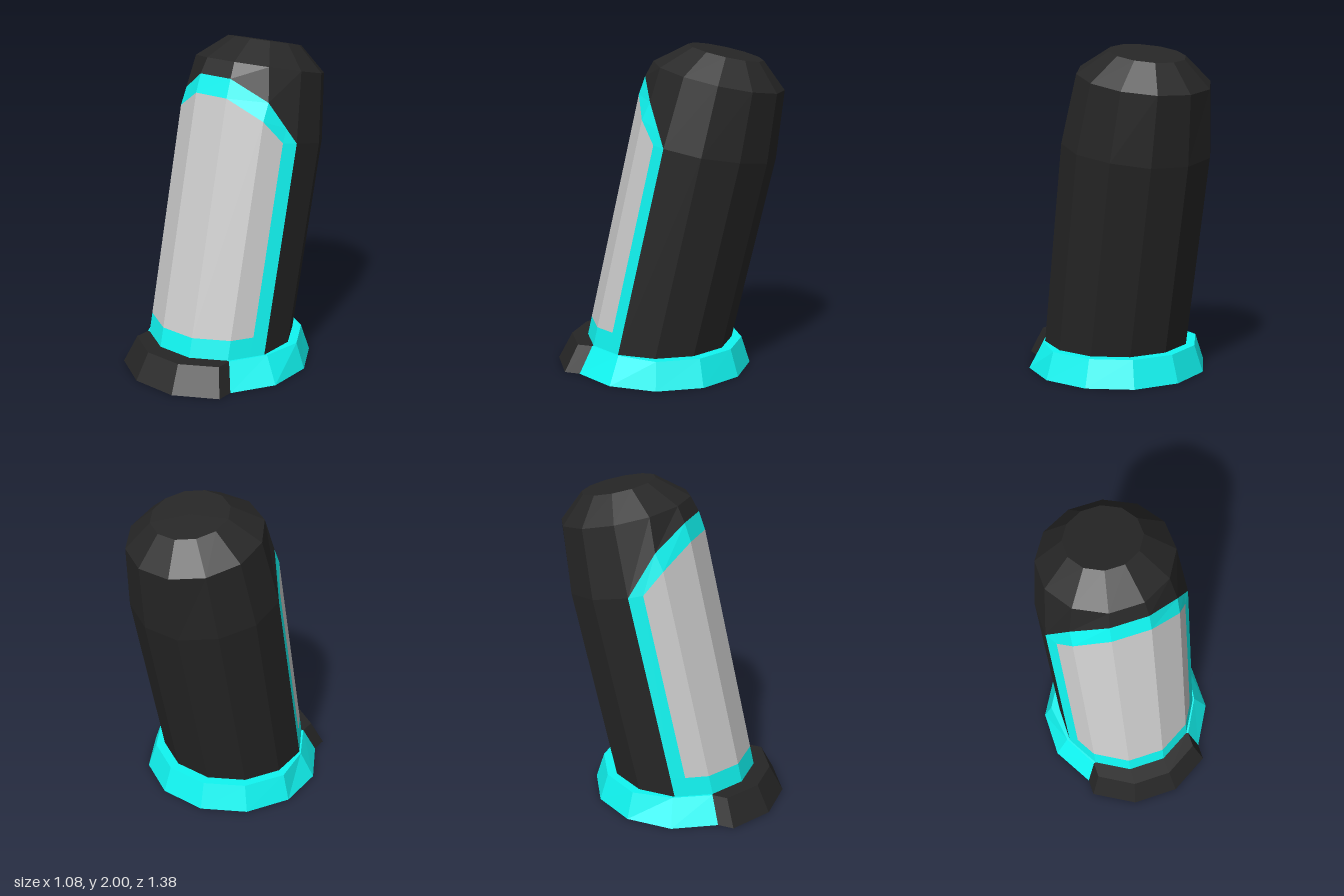
import * as THREE from 'three';

const material = (color) => new THREE.MeshStandardMaterial({
  color, flatShading: true, side: THREE.DoubleSide, roughness: 0.8,
});

// Skin consecutive rows of points (lower to upper) with flat quads
function loft(name, mat, rows, closed = false) {
  const pos = [];
  for (let r = 0; r + 1 < rows.length; r++) {
    const lo = rows[r], up = rows[r + 1], n = lo.length;
    for (let i = 0; i < (closed ? n : n - 1); i++) {
      const j = (i + 1) % n;
      for (const p of [lo[i], lo[j], up[j], lo[i], up[j], up[i]]) pos.push(...p);
    }
  }
  const g = new THREE.BufferGeometry();
  g.setAttribute('position', new THREE.Float32BufferAttribute(pos, 3));
  g.computeVertexNormals();
  const mesh = new THREE.Mesh(g, mat);
  mesh.name = name;
  return mesh;
}

// Mirror a half row (centre outwards on +x) into a full left-to-right row
const mirror = (half) => [...half.map(([x, y, z]) => [-x, y, z]).reverse(), ...half];

// Twelve-sided ring with a flat side to the front, tilted by slope
function ring(r, y, z, slope = 0) {
  return Array.from({ length: 12 }, (_, i) => {
    const a = (i * 30 - 15) * Math.PI / 180;
    const dz = r * Math.cos(a) * (slope ? 0.975 : 1);
    return [r * Math.sin(a), y + slope * dz, z + dz];
  });
}

export function createModel() {
  const group = new THREE.Group();
  const dark = material(0x262626), cyan = material(0x10f6f2), grey = material(0xcccccc);
  const baseY = 0.165, lean = 0.228;
  const tube = ring(0.455, baseY, 0.06);
  const raise = ([x, , z], y) => [x, y, z - lean * (y - baseY)];

  // Leaning front panel with a border
  const edge = [0.395, baseY, 0.256];
  const cols = [tube[1], tube[2], edge, tube[3]];
  const greyTopY = [1.70, 1.575, 1.44, 1.43];
  const bottom = mirror(cols);
  const panelLow = mirror(cols.map((p) => raise(p, 0.285)));
  const panelTop = mirror(cols.map((p, i) => raise(p, greyTopY[i])));
  const borderTop = mirror([
    [0.115, 1.81, 0.11], [0.32, 1.68, 0.01], [0.395, 1.525, -0.068], raise(tube[3], 1.43),
  ]);
  group.add(loft('frontPanel', grey, [panelLow.slice(1, 7), panelTop.slice(1, 7)]));
  group.add(loft('panelBorderBottom', cyan, [bottom, panelLow]));
  group.add(loft('panelBorderTop', cyan, [panelTop, borderTop]));
  for (const [name, k] of [['panelBorderRight', 0], ['panelBorderLeft', 6]]) {
    group.add(loft(name, cyan, [panelLow.slice(k, k + 2), panelTop.slice(k, k + 2)]));
  }

  // Rear shell
  const shoulderY = [1.43, 1.385, 1.35, 1.32, 1.32, 1.35, 1.385, 1.43];
  const rearLow = tube.slice(3, 11);
  const rearTop = rearLow.map((p, i) => raise(p, shoulderY[i]));
  group.add(loft('rearShell', dark, [rearLow, rearTop]));

  // Tapered cap with a flat tilted top
  const shoulder = [borderTop[3], borderTop[4], borderTop[5], ...rearTop, borderTop[2]];
  const topCentre = Array.from({ length: 12 }, () => [0, 1.955, -0.357]);
  group.add(loft('cap', dark, [
    shoulder, ring(0.40, 1.815, -0.315, 0.227), ring(0.228, 1.955, -0.357, 0.227), topCentre,
  ], true));

  // Flared skirt around the sides and back, closed onto the tube
  const skirtLow = ring(0.56, 0, 0.05).slice(2);
  const half = [
    [0.131, baseY, -0.44], [0.355, baseY, -0.31], [0.49, baseY, -0.08],
    [0.455, baseY, 0.17], [0.335, baseY, 0.385],
  ];
  const skirtTop = mirror(half).map(([x, y, z]) => [-x, y, z]);
  group.add(loft('skirt', cyan, [skirtLow, skirtTop, tube.slice(2)]));

  // Projecting front foot
  const footLow = mirror([[0.145, 0, 0.69], [0.395, 0, 0.545], [0.395, 0, 0.445]]);
  const footTop = mirror([[0.122, baseY, 0.605], [0.335, baseY, 0.48], [0.335, baseY, 0.385]]);
  const footInner = mirror([tube[1], tube[2], tube[2]]);
  group.add(loft('frontFoot', dark, [footLow, footTop, footInner]));

  return group;
}
